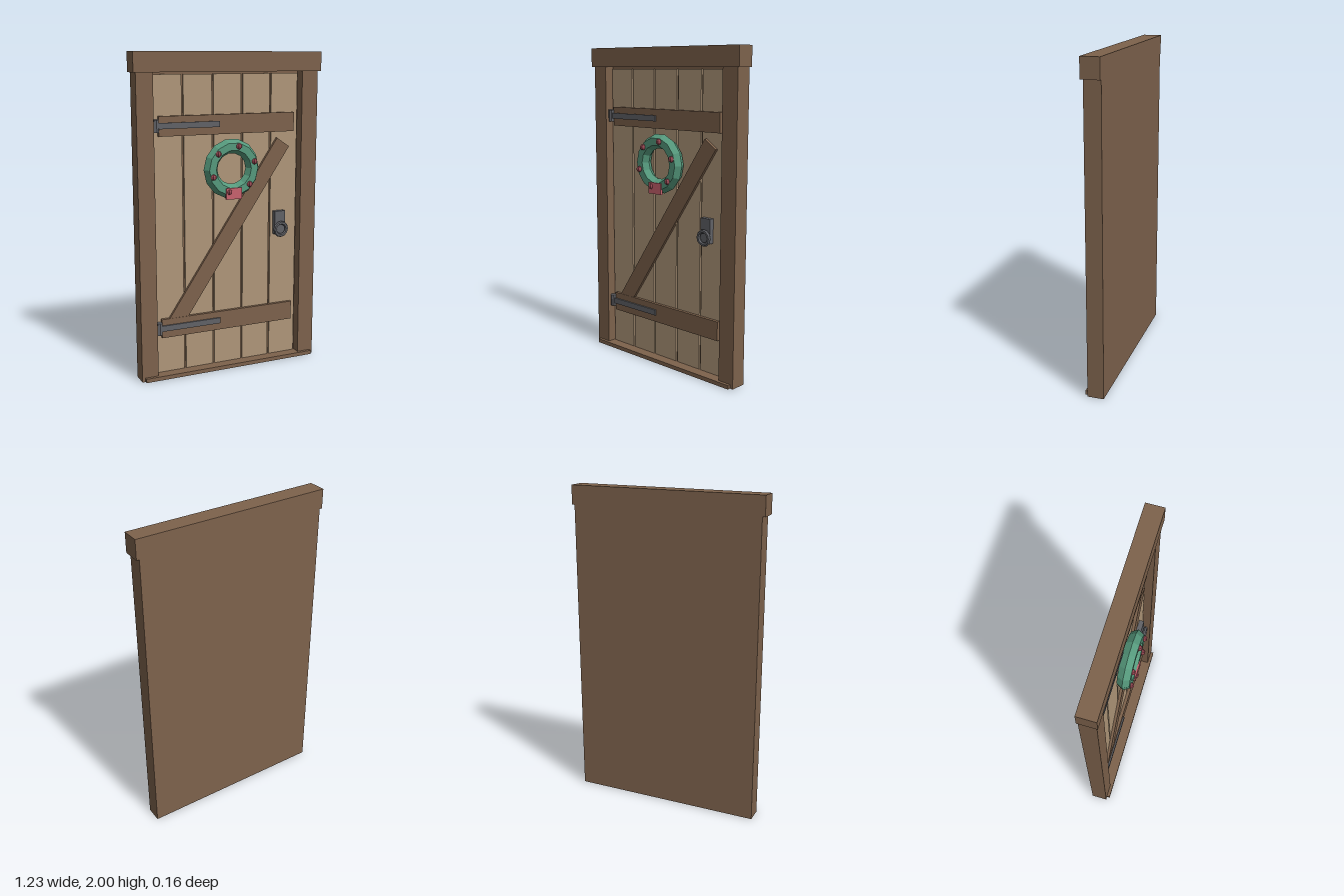
import * as THREE from 'three';

const mat = (name, color) => {
  const m = new THREE.MeshStandardMaterial({ color, flatShading: true });
  m.name = name;
  return m;
};

export function createModel() {
  const group = new THREE.Group();
  const frameWood = mat('frame wood', 0x7d624c);
  const plankWood = mat('plank wood', 0xb0977a);
  const iron = mat('dark iron', 0x616267);
  const leaf = mat('wreath green', 0x569a7d);
  const berryRed = mat('berry red', 0x9a4a55);
  const bowRed = mat('bow red', 0xc9626e);

  const add = (name, geometry, material, x, y, z, parent = group) => {
    const mesh = new THREE.Mesh(geometry, material);
    mesh.name = name;
    mesh.position.set(x, y, z);
    parent.add(mesh);
    return mesh;
  };
  // Box given by its limits on each axis
  const box = (name, material, [x0, x1], [y0, y1], [z0, z1]) =>
    add(name, new THREE.BoxGeometry(x1 - x0, y1 - y0, z1 - z0), material,
      (x0 + x1) / 2, (y0 + y1) / 2, (z0 + z1) / 2);

  const back = -0.083;
  const plankFront = -0.033;

  // Frame: posts, lintel, sill and the backing seen between the planks
  box('leftPost', frameWood, [0.49, 0.6], [0, 1.88], [back, 0.018]);
  box('rightPost', frameWood, [-0.6, -0.495], [0, 1.88], [back, 0.018]);
  box('lintel', frameWood, [-0.617, 0.617], [1.88, 2], [back, 0.03]);
  box('sill', frameWood, [-0.58, 0.58], [0, 0.025], [back, 0.038]);
  box('backing', frameWood, [-0.495, 0.49], [0, 1.88], [back, -0.045]);

  // Five planks with narrow gaps
  for (let i = -2; i <= 2; i++) {
    const x = i * 0.196 - 0.002;
    box('plank', plankWood, [x - 0.092, x + 0.092], [0.02, 1.867], [-0.05, plankFront]);
  }

  // Cross battens, each with a hinge strap and barrel
  for (const y of [1.565, 0.315]) {
    box('batten', frameWood, [-0.455, 0.45], [y - 0.06, y + 0.06], [plankFront, -0.012]);
    box('hingeStrap', iron, [-0.47, -0.067], [y - 0.015, y + 0.021], [-0.014, -0.002]);
    add('hingeBarrel', new THREE.CylinderGeometry(0.02, 0.02, 0.076, 8), iron, -0.474, y + 0.003, -0.012);
  }

  // Diagonal brace
  const brace = add('brace', new THREE.BoxGeometry(1.345, 0.103, 0.018), frameWood, 0, 0.88, -0.023);
  brace.rotation.z = THREE.MathUtils.degToRad(56);

  // Latch plate and pull ring
  box('handlePlate', iron, [0.317, 0.391], [0.845, 0.996], [plankFront, -0.002]);
  add('handleRing', new THREE.TorusGeometry(0.041, 0.012, 6, 12), iron, 0.354, 0.88, 0.011);

  // Wreath with six berries and a bow
  const wreath = new THREE.Group();
  wreath.name = 'wreath';
  wreath.position.set(0, 1.295, 0.021);
  group.add(wreath);
  add('wreathRing', new THREE.TorusGeometry(0.14, 0.045, 6, 14), leaf, 0, 0, 0, wreath);
  for (let i = 0; i < 6; i++) {
    const a = THREE.MathUtils.degToRad(17 + i * 60);
    add('berry', new THREE.SphereGeometry(0.019, 6, 5), berryRed,
      Math.cos(a) * 0.143, Math.sin(a) * 0.143, 0.043, wreath);
  }
  add('bow', new THREE.BoxGeometry(0.104, 0.07, 0.02), bowRed, -0.002, -0.149, 0.038, wreath);

  return group;
}
